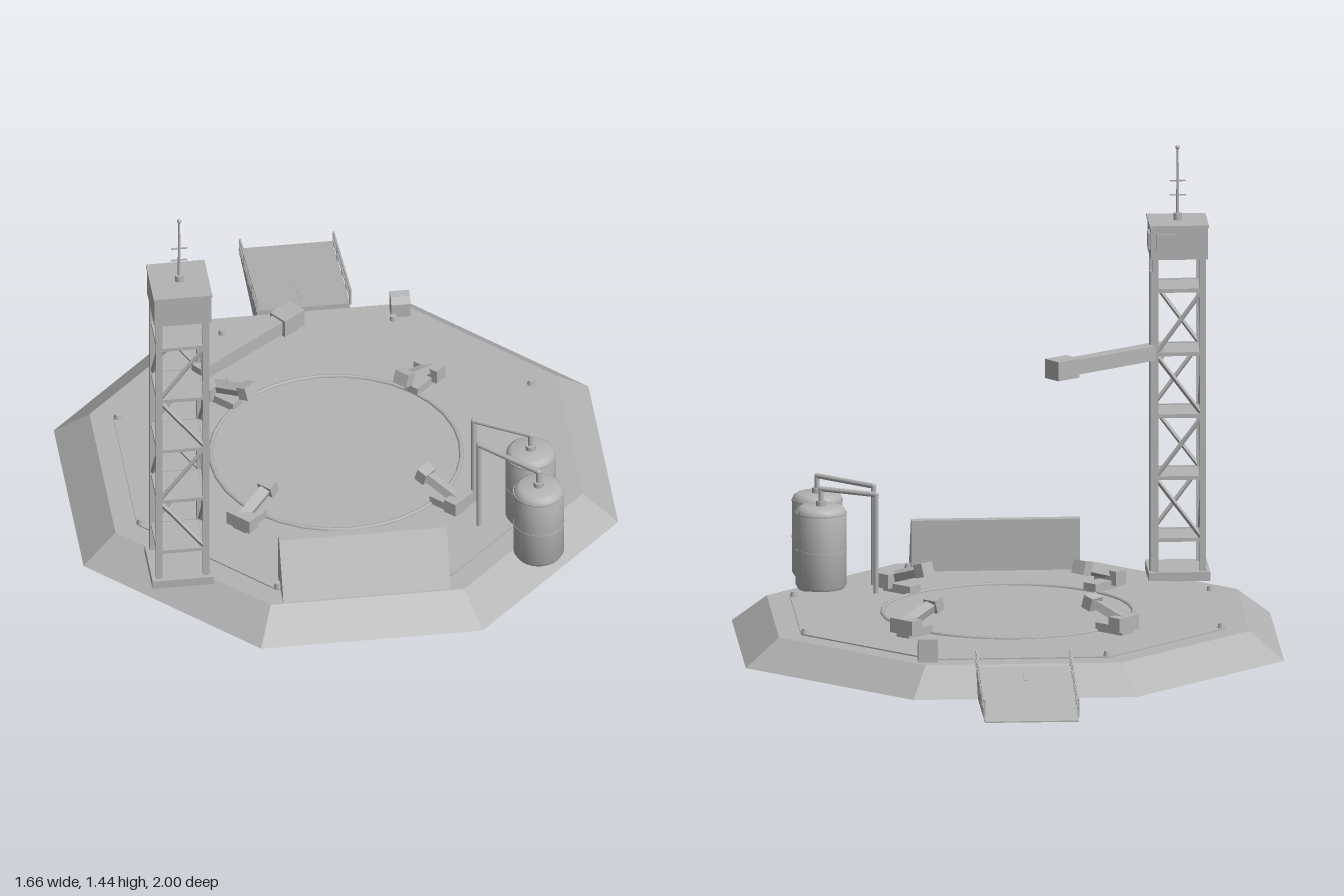
import * as THREE from 'three';
import { toCreasedNormals } from 'three/addons/utils/BufferGeometryUtils.js';

const grey = new THREE.MeshStandardMaterial({ color: 0xb4b4b4 });
grey.name = 'concreteGrey';
const V = (x, y, z) => new THREE.Vector3(x, y, z);

function add(parent, name, geo, x = 0, y = 0, z = 0) {
  const m = new THREE.Mesh(geo, grey);
  m.name = name;
  m.position.set(x, y, z);
  parent.add(m);
  return m;
}
function group(parent, name, x = 0, y = 0, z = 0) {
  const g = new THREE.Group();
  g.name = name;
  g.position.set(x, y, z);
  parent.add(g);
  return g;
}
const box = (p, n, w, h, d, x, y, z) => add(p, n, new THREE.BoxGeometry(w, h, d), x, y, z);
const cyl = (p, n, r, h, x, y, z, r2 = r) => add(p, n, new THREE.CylinderGeometry(r2, r, h, 20), x, y, z);

// Square bar between two points
function bar(p, n, a, b, w, h = w) {
  const mid = a.clone().add(b).multiplyScalar(0.5);
  const m = box(p, n, w, h, a.distanceTo(b), mid.x, mid.y, mid.z);
  m.quaternion.setFromUnitVectors(V(0, 0, 1), b.clone().sub(a).normalize());
  return m;
}
// Octagonal slab given by its apothems
function octagon(p, n, top, bottom, y0, y1) {
  const k = 1 / Math.cos(Math.PI / 8);
  const g = new THREE.CylinderGeometry(top * k, bottom * k, y1 - y0, 8, 1, false, Math.PI / 8);
  return add(p, n, toCreasedNormals(g, 0.3), 0, (y0 + y1) / 2, 0);
}
// Side profile in (z, y) extruded along x
function profileX(p, n, pts, width, x = 0) {
  const s = new THREE.Shape(pts.map(([z, y]) => new THREE.Vector2(-z, y)));
  const g = new THREE.ExtrudeGeometry(s, { depth: width, bevelEnabled: false });
  g.rotateY(Math.PI / 2);
  return add(p, n, g, x - width / 2, 0, 0);
}

function buildPad(root) {
  const pad = group(root, 'launchPad', 0, 0, 0.17);
  octagon(pad, 'padBase', 0.725, 0.83, 0, 0.086);
  octagon(pad, 'padDeck', 0.655, 0.655, 0.084, 0.09);
  const ring = add(pad, 'padRing', new THREE.TorusGeometry(0.387, 0.007, 6, 32), 0, 0.091, 0);
  ring.rotation.x = Math.PI / 2;
  const mark = add(pad, 'innerCircleMark', new THREE.RingGeometry(0.255, 0.27, 48), 0, 0.0915, 0);
  mark.rotation.x = -Math.PI / 2;
  for (let i = 0; i < 8; i++) {
    const a = Math.PI / 8 + i * Math.PI / 4;
    cyl(pad, 'edgeLamp', 0.013, 0.016, 0.695 * Math.cos(a), 0.097, 0.695 * Math.sin(a), 0.01);
  }
  // Hold-down clamps on the diagonals; local +x points outward
  for (let i = 0; i < 4; i++) {
    const c = group(pad, 'holdDownClamp');
    c.rotation.y = Math.PI / 4 + i * Math.PI / 2;
    box(c, 'clampBase', 0.11, 0.028, 0.05, 0.435, 0.103, 0);
    box(c, 'clampHinge', 0.045, 0.045, 0.09, 0.475, 0.125, 0);
    bar(c, 'clampArm', V(0.485, 0.128, 0), V(0.35, 0.17, 0), 0.034, 0.026);
    box(c, 'clampPad', 0.035, 0.042, 0.05, 0.345, 0.172, 0).rotation.z = -0.3;
  }
}

function buildTower(root) {
  const t = group(root, 'serviceTower', -0.555, 0, 0.675);
  const r = 0.073;
  box(t, 'towerFoot', 0.19, 0.028, 0.19, 0, 0.102, 0);
  for (const sx of [-1, 1]) for (const sz of [-1, 1]) box(t, 'towerLeg', 0.019, 1, 0.019, sx * r, 0.61, sz * r);
  const levels = [0.215, 0.41, 0.605, 0.8, 1.0];
  levels.forEach((y, i) => {
    box(t, 'towerFloor', 0.146, 0.008, 0.146, 0, y, 0);
    for (let k = 0; k < 4; k++) {
      const side = group(t, 'towerSide');
      side.rotation.y = k * Math.PI / 2;
      box(side, 'crossBeam', 0.146, 0.012, 0.012, 0, y, r);
      if (i === 4) continue;
      const s = i % 2 ? 1 : -1;
      bar(side, 'diagonalBrace', V(-s * r, y, r), V(s * r, levels[i + 1], r), 0.01);
    }
  });
  cyl(t, 'cablePipe', 0.008, 0.95, 0.084, 0.585, -0.06);
  box(t, 'towerCabin', 0.176, 0.105, 0.176, 0, 1.152, 0);
  box(t, 'cabinRoof', 0.182, 0.008, 0.182, 0, 1.203, 0);
  box(t, 'sidePanel', 0.008, 0.05, 0.06, 0.091, 1.155, -0.04);
  box(t, 'backPanel', 0.06, 0.05, 0.008, 0.04, 1.155, -0.091);

  // Antenna
  cyl(t, 'antennaFoot', 0.013, 0.022, 0, 1.217, 0);
  cyl(t, 'antennaMast', 0.005, 0.21, 0, 1.33, 0, 0.003);
  add(t, 'antennaTip', new THREE.SphereGeometry(0.007, 12, 8), 0, 1.435, 0);
  for (const y of [1.285, 1.33]) box(t, 'antennaBar', 0.05, 0.004, 0.004, 0, y, 0);

  // Swing arm reaching over the pad; local +x runs along it
  const arm = group(t, 'swingArm', 0, 0.805, 0);
  arm.rotation.y = Math.atan2(0.28, 0.377);
  box(arm, 'armBeam', 0.37, 0.046, 0.046, 0.26, 0, 0);
  box(arm, 'armHead', 0.085, 0.06, 0.065, 0.465, 0, 0);
}

function buildTanks(root) {
  const profile = [[0, 0.087], [0.07, 0.087], [0.078, 0.1], [0.078, 0.325], [0.073, 0.338], [0.062, 0.346], [0, 0.348]]
    .map(([x, y]) => new THREE.Vector2(x, y));
  for (const [z, zEnd] of [[0.558, 0.463], [0.745, 0.585]]) {
    const g = group(root, 'fuelTank');
    add(g, 'tankBody', toCreasedNormals(new THREE.LatheGeometry(profile, 28), 0.6), 0.552, 0, z);
    for (const y of [0.21, 0.325]) cyl(g, 'tankBand', 0.0795, 0.006, 0.552, y, z);
    cyl(g, 'tankValve', 0.016, 0.02, 0.552, 0.353, z);
    const path = new THREE.CurvePath();
    const p = [V(0.552, 0.345, z), V(0.552, 0.4, z), V(0.388, 0.4, zEnd), V(0.388, 0.088, zEnd)];
    for (let i = 0; i < 3; i++) {
      const len = p[i].distanceTo(p[i + 1]);
      const m = cyl(g, 'fuelPipe', 0.008, len, 0, 0, 0);
      m.position.copy(p[i]).lerp(p[i + 1], 0.5);
      m.quaternion.setFromUnitVectors(V(0, 1, 0), p[i + 1].clone().sub(p[i]).normalize());
    }
    for (const q of [p[1], p[2]]) add(g, 'pipeElbow', new THREE.SphereGeometry(0.0085, 12, 8), q.x, q.y, q.z);
  }
  cyl(root, 'tankLink', 0.008, 0.06, 0.552, 0.215, 0.65).rotation.x = Math.PI / 2;
}

function buildRamp(root) {
  const ramp = group(root, 'accessRamp');
  profileX(ramp, 'rampWedge', [[-1, 0], [-0.58, 0], [-0.58, 0.083], [-1, 0.004]], 0.29);
  const h = z => 0.083 * (z + 1) / 0.42;
  for (const x of [-0.145, 0.145]) {
    for (let i = 0; i < 5; i++) {
      const z = -0.578 - i * 0.097;
      box(ramp, 'railPost', 0.006, 0.056, 0.006, x, h(z) + 0.027, z);
    }
    for (const up of [0.028, 0.055])
      bar(ramp, 'handRail', V(x, h(-0.575) + up, -0.575), V(x, h(-0.97) + up, -0.97), 0.006);
  }
  // Dashes down the middle
  for (let i = 0; i < 4; i++) {
    const z = -0.64 - i * 0.095;
    bar(ramp, 'rampDash', V(0, h(z) + 0.001, z), V(0, h(z - 0.05) + 0.001, z - 0.05), 0.01, 0.003);
  }
}

export function createModel() {
  const root = new THREE.Group();
  root.name = 'launchSite';
  buildPad(root);
  buildTower(root);
  buildTanks(root);
  buildRamp(root);
  // Sloped blast wall at the front
  profileX(root, 'blastWall', [[0.89, 0.085], [0.79, 0.25], [0.76, 0.25], [0.76, 0.085]], 0.52);
  // Control console near the ramp
  profileX(root, 'controlConsole', [[-0.485, 0.088], [-0.485, 0.135], [-0.5, 0.155], [-0.525, 0.16], [-0.525, 0.088]], 0.06, 0.29);
  return root;
}
